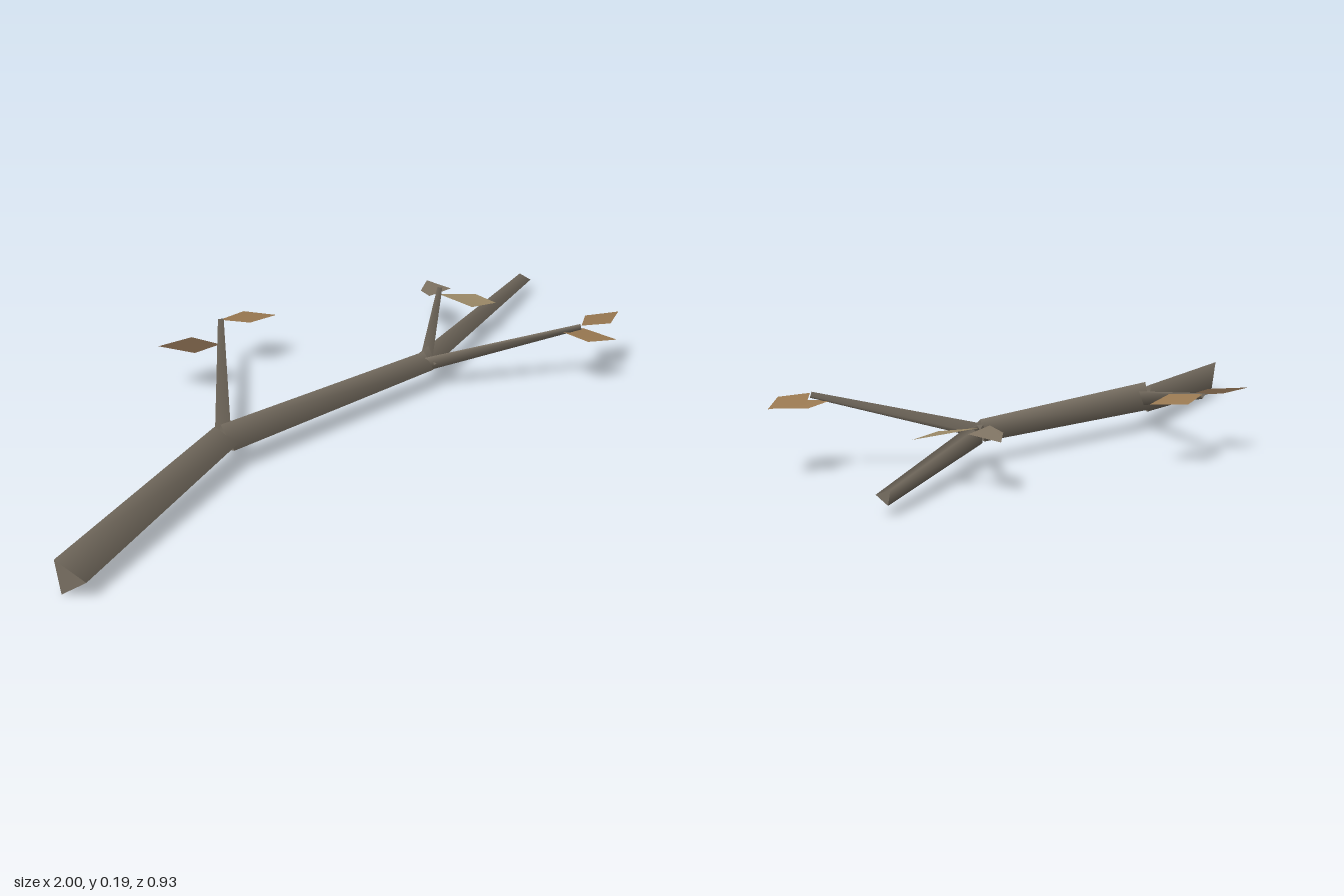
import * as THREE from 'three';

const mat = (name, color, side = THREE.FrontSide) => {
  const m = new THREE.MeshStandardMaterial({ color, side });
  m.name = name;
  return m;
};

export function createModel() {
  const group = new THREE.Group();
  const bark = mat('bark', 0x797063);
  const gold = mat('goldenLeaf', 0x9b7a52, THREE.DoubleSide);
  const brown = mat('brownLeaf', 0x6d563f, THREE.DoubleSide);
  const tan = mat('tanLeaf', 0x9a8866, THREE.DoubleSide);
  const grey = mat('greyLeaf', 0x817564, THREE.DoubleSide);

  // Tapered three-sided stick between two points, shaded smoothly
  function stick(name, a, b, ra, rb) {
    const p = new THREE.Vector3(...a), q = new THREE.Vector3(...b);
    const dir = q.clone().sub(p);
    const mesh = new THREE.Mesh(new THREE.CylinderGeometry(rb, ra, dir.length(), 3), bark);
    mesh.position.copy(p).add(q).multiplyScalar(0.5);
    mesh.quaternion.setFromUnitVectors(new THREE.Vector3(0, 1, 0), dir.normalize());
    mesh.name = name;
    group.add(mesh);
  }

  // Flat four-cornered leaf, corners listed so the face points up
  function leaf(name, material, ...corners) {
    const geo = new THREE.BufferGeometry();
    geo.setAttribute('position', new THREE.Float32BufferAttribute(corners.flat(), 3));
    geo.setIndex([0, 2, 1, 0, 3, 2]);
    geo.computeVertexNormals();
    const mesh = new THREE.Mesh(geo, material);
    mesh.name = name;
    group.add(mesh);
  }

  // Main branch in three bent segments
  const joints = [
    [-0.995, 0.052, -0.009, 0.054],
    [-0.33, 0.087, -0.094, 0.043],
    [0.33, 0.082, 0.057, 0.032],
    [0.995, 0.046, -0.061, 0.021],
  ];
  for (let i = 0; i < 3; i++) {
    const a = joints[i], b = joints[i + 1];
    stick('branchSegment' + (i + 1), a.slice(0, 3), b.slice(0, 3), a[3], b[3]);
  }

  // Side twigs
  stick('backTwig', [-0.33, 0.087, -0.094], [0.07, 0.167, -0.43], 0.024, 0.009);
  stick('frontTwig', [0.33, 0.082, 0.057], [0.585, 0.185, 0.375], 0.021, 0.009);
  stick('tipTwig', [0.33, 0.082, 0.057], [0.62, 0.147, -0.1], 0.019, 0.008);

  // Leaves, clockwise as seen from above
  leaf('backTwigInnerLeaf', brown,
    [-0.02, 0.152, -0.36], [-0.105, 0.156, -0.375], [-0.14, 0.161, -0.47], [-0.04, 0.157, -0.44]);
  leaf('backTwigOuterLeaf', gold,
    [0.065, 0.17, -0.43], [0.165, 0.157, -0.43], [0.2, 0.157, -0.345], [0.1, 0.17, -0.355]);
  leaf('frontTwigInnerLeaf', gold,
    [0.55, 0.172, 0.335], [0.625, 0.159, 0.36], [0.63, 0.153, 0.46], [0.55, 0.166, 0.42]);
  leaf('frontTwigOuterLeaf', gold,
    [0.58, 0.19, 0.38], [0.665, 0.175, 0.34], [0.745, 0.172, 0.395], [0.645, 0.186, 0.43]);
  leaf('tipTwigBackLeaf', grey,
    [0.57, 0.143, -0.1], [0.6, 0.134, -0.15], [0.68, 0.126, -0.185], [0.66, 0.135, -0.09]);
  leaf('tipTwigFrontLeaf', tan,
    [0.6, 0.141, -0.09], [0.68, 0.13, -0.02], [0.69, 0.117, 0.04], [0.61, 0.127, 0.015]);

  return group;
}
